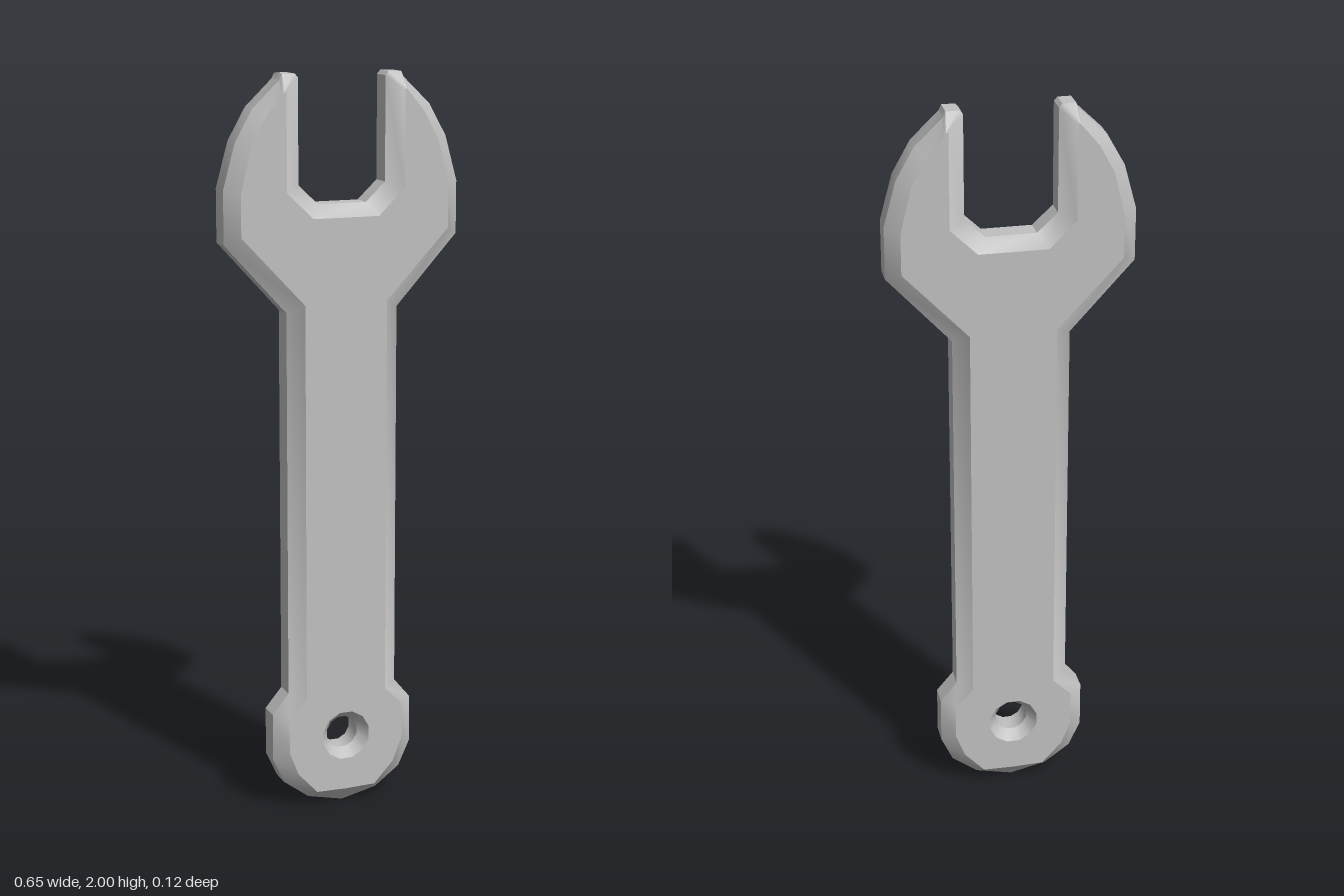
import * as THREE from 'three';
import { toCreasedNormals } from 'three/addons/utils/BufferGeometryUtils.js';

const HALF = 0.061; // half thickness at the flat faces
const RIM = 0.029;  // half thickness of the outer rim band

// Right half, bottom to jaw: [rim x, rim y, face x, face y]
const PROFILE = [
  [0, 0.005, 0, 0.048],
  [0.10, 0.028, 0.085, 0.05],
  [0.17, 0.08, 0.14, 0.11],
  [0.202, 0.15, 0.165, 0.175],
  [0.202, 0.28, 0.165, 0.275],
  [0.156, 0.335, 0.115, 0.325],
  [0.156, 1.383, 0.115, 1.405],
  [0.326, 1.57, 0.289, 1.59],
  [0.326, 1.71, 0.289, 1.70],
  [0.293, 1.83, 0.26, 1.82],
  [0.245, 1.915, 0.22, 1.895],
  [0.172, 1.985, 0.178, 1.945],
  [0.165, 2.0, 0.17, 1.955],
  [0.13, 2.0, 0.167, 1.957],
  [0.121, 1.99, 0.164, 1.955],
  [0.121, 1.715, 0.164, 1.70],
  [0.067, 1.664, 0.092, 1.63],
];

function mirrored(points) {
  const left = points.slice(1).reverse().map(p => new THREE.Vector2(-p.x, p.y));
  return [...points, ...left];
}

// Clockwise circle for the hanging hole
function circle(radius, sides = 12) {
  return Array.from({ length: sides }, (_, i) => {
    const a = -(i + 0.5) / sides * Math.PI * 2;
    return new THREE.Vector2(Math.cos(a) * radius, 0.204 + Math.sin(a) * radius);
  });
}

function geometryFrom(positions) {
  const g = new THREE.BufferGeometry();
  g.setAttribute('position', new THREE.Float32BufferAttribute(positions, 3));
  return toCreasedNormals(g, 0.55);
}

// Skin around the edge: bevel, flat band, bevel
function edgeGeometry(rim, face) {
  const pos = [];
  const rings = [[face, -HALF], [rim, -RIM], [rim, RIM], [face, HALF]];
  for (let r = 0; r < 3; r++) {
    const [lo, z0] = rings[r], [hi, z1] = rings[r + 1];
    for (let i = 0; i < lo.length; i++) {
      const j = (i + 1) % lo.length;
      const a = [lo[i].x, lo[i].y, z0], b = [lo[j].x, lo[j].y, z0];
      const c = [hi[j].x, hi[j].y, z1], d = [hi[i].x, hi[i].y, z1];
      pos.push(...a, ...b, ...c, ...a, ...c, ...d);
    }
  }
  return geometryFrom(pos);
}

// Flat face with the hole cut out
function faceGeometry(outline, hole) {
  const shape = new THREE.Shape(outline);
  shape.holes.push(new THREE.Path(hole));
  return new THREE.ShapeGeometry(shape);
}

export function createModel() {
  const steel = new THREE.MeshStandardMaterial({ color: 0xc0c0c0 });
  steel.name = 'steel grey';
  const group = new THREE.Group();
  group.name = 'spanner';
  const add = (geometry, name) => {
    const mesh = new THREE.Mesh(geometry, steel);
    mesh.name = name;
    group.add(mesh);
    return mesh;
  };

  const rim = mirrored(PROFILE.map(p => new THREE.Vector2(p[0], p[1])));
  const face = mirrored(PROFILE.map(p => new THREE.Vector2(p[2], p[3])));
  const holeFace = circle(0.069);

  // Bevelled edges
  add(edgeGeometry(rim, face), 'bevelledEdge');
  add(edgeGeometry(circle(0.045), holeFace), 'hangingHole');

  // Flat faces
  const flat = faceGeometry(face, holeFace);
  add(flat, 'frontFace').position.z = HALF;
  const back = add(flat, 'backFace');
  back.position.z = -HALF;
  back.rotation.y = Math.PI;
  return group;
}
